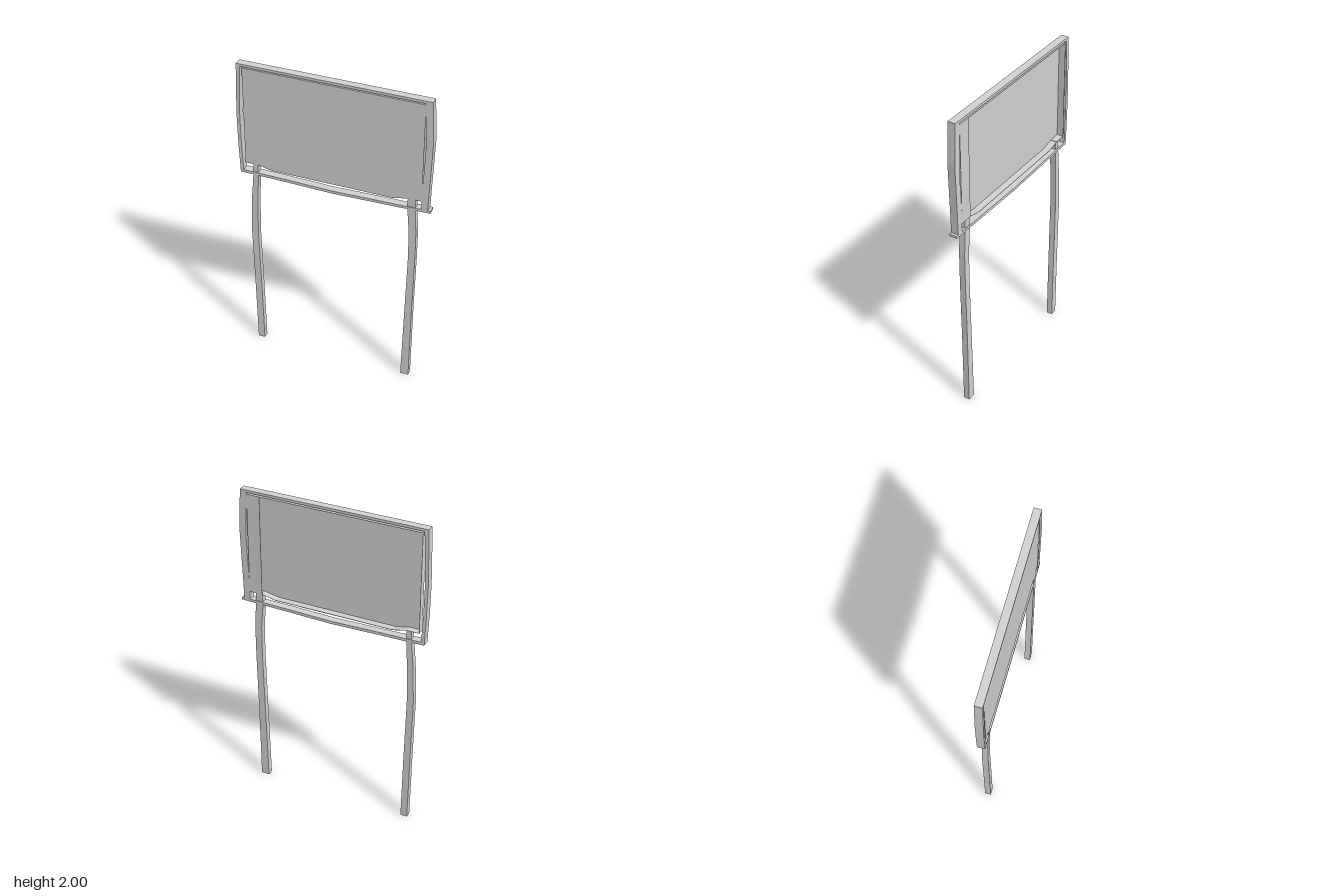
import * as THREE from 'three';

const grey = new THREE.MeshStandardMaterial({ color: 0xd4d4d4, side: THREE.DoubleSide });
grey.name = 'light grey';

// Flat-sided slab cut from an outline, between two depths
function slab(name, points, back, front) {
  const shape = new THREE.Shape(points.map(([x, y]) => new THREE.Vector2(x, y)));
  const geometry = new THREE.ExtrudeGeometry(shape, { depth: front - back, bevelEnabled: false });
  geometry.translate(0, 0, back);
  const mesh = new THREE.Mesh(geometry, grey);
  mesh.name = name;
  return mesh;
}

// Upright post from rows of [y, left x, right x]
function post(name, rows, back, front) {
  const left = rows.map(([y, l]) => [l, y]);
  const right = rows.map(([y, , r]) => [r, y]).reverse();
  return slab(name, [...left, ...right], back, front);
}

export function createModel() {
  const group = new THREE.Group();
  group.name = 'signBoard';
  const D = 0.024; // half depth of the frame
  const legBack = -0.018, legFront = 0.02;

  // Outer frame, slightly bowed
  group.add(
    slab('topRail', [[-0.59, 1.984], [0.585, 1.984], [0.585, 2], [-0.59, 2]], -D, D),
    post('rightRail', [
      [1.27, -0.59, -0.57], [1.45, -0.597, -0.577], [1.65, -0.6, -0.58],
      [1.85, -0.595, -0.573], [1.984, -0.59, -0.565],
    ], -D, D),
    post('leftRail', [
      [1.275, 0.544, 0.583], [1.416, 0.544, 0.587], [1.55, 0.551, 0.592], [1.74, 0.556, 0.598],
      [1.85, 0.55, 0.593], [1.92, 0.544, 0.589], [1.984, 0.544, 0.585],
    ], -D, D),
    slab('bottomRail', [
      [-0.59, 1.267], [-0.3, 1.262], [0, 1.255], [0.3, 1.262], [0.6, 1.269],
      [0.6, 1.285], [0.3, 1.28], [0, 1.273], [-0.3, 1.28], [-0.59, 1.285],
    ], -D, D),
  );

  // Open-backed board: thin face with a wall round its edge
  group.add(
    slab('boardFace', [
      [-0.557, 1.337], [-0.48, 1.337], [-0.39, 1.319], [0.37, 1.319],
      [0.46, 1.337], [0.544, 1.337], [0.544, 1.974], [-0.557, 1.974],
    ], 0.018, legFront),
    slab('boardTopWall', [[-0.557, 1.972], [0.544, 1.972], [0.544, 1.974], [-0.557, 1.974]], -D, legFront),
    slab('boardSideWall', [[-0.557, 1.337], [-0.555, 1.337], [-0.555, 1.974], [-0.557, 1.974]], -D, legFront),
    slab('boardBottomWall', [
      [-0.48, 1.337], [-0.39, 1.317], [0.37, 1.317], [0.46, 1.337], [0.37, 1.32], [-0.39, 1.32],
    ], -D, legFront),
    slab('boardCornerWall', [[-0.557, 1.337], [-0.48, 1.337], [-0.48, 1.339], [-0.557, 1.339]], -D, legFront),
    slab('backPlate', [[0.46, 1.337], [0.544, 1.337], [0.544, 1.974], [0.46, 1.974]], -D, -0.021),
  );

  // Crooked legs
  group.add(
    post('rightLeg', [
      [0, -0.52, -0.477], [0.4, -0.526, -0.483], [0.85, -0.535, -0.493],
      [1.1, -0.525, -0.486], [1.25, -0.511, -0.478], [1.337, -0.505, -0.477],
    ], legBack, legFront),
    post('leftLeg', [
      [0, 0.455, 0.507], [0.5, 0.466, 0.511], [0.9, 0.475, 0.518],
      [1.1, 0.474, 0.518], [1.25, 0.461, 0.509], [1.337, 0.46, 0.507],
    ], legBack, legFront),
  );
  return group;
}
